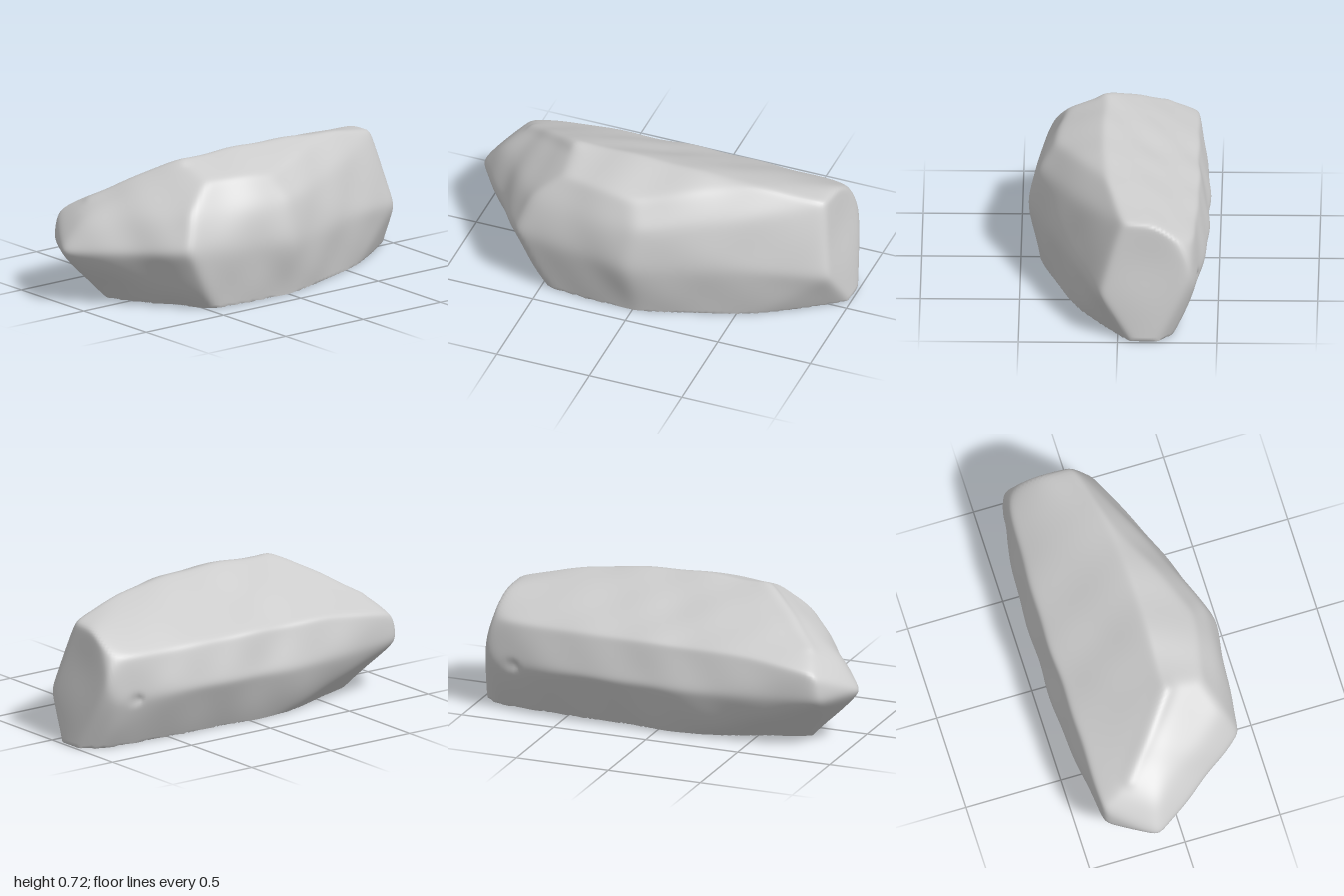
import * as THREE from 'three';
import { mergeVertices } from 'three/addons/utils/BufferGeometryUtils.js';
import { ConvexGeometry } from 'three/addons/geometries/ConvexGeometry.js';

const V = (x, y, z) => new THREE.Vector3(x, y, z);
const CENTRE = V(0, 0.3, -0.03);
const FLOOR = 0.012;
const SHARPNESS = 60;

// Corners of the rough block, [x, y, z]
const CORNERS = {
  top: [[-0.42, 0.725, 0.06], [0.1, 0.73, 0.08], [0.52, 0.7, 0.06], [0.89, 0.62, -0.02]],
  shoulder: [[-0.42, 0.65, 0.27], [-0.04, 0.64, 0.33], [-0.58, 0.52, 0.34], [0, 0.51, 0.425],
    [0.5, 0.56, 0.2], [0.88, 0.5, 0.04]],
  front: [[-0.63, 0.33, 0.405], [-0.02, 0.29, 0.465], [0.6, 0.3, 0.255], [-0.46, 0, 0.39],
    [0, 0, 0.41], [0.58, 0, 0.22]],
  rightEnd: [[0.945, 0.25, 0.1], [0.9, 0.61, -0.2], [0.91, 0.55, -0.29], [0.945, 0.42, -0.365],
    [0.965, 0.25, -0.34], [1.012, 0, -0.08], [1.012, 0, -0.19], [0.92, 0, -0.28]],
  leftEnd: [[-1.045, 0.29, -0.14], [-0.77, 0.53, -0.22], [-0.9, 0.455, -0.12], [-0.87, 0.43, -0.39],
    [-0.88, 0.28, -0.39], [-0.76, 0, -0.13]],
  back: [[-0.5, 0.49, -0.395], [0.3, 0.5, -0.4], [0.82, 0.49, -0.38], [-0.33, 0.28, -0.457],
    [0.1, 0.28, -0.465], [0.5, 0.28, -0.45], [0.9, 0.28, -0.395]],
  backFoot: [[-0.2, 0.13, -0.41], [0.5, 0.12, -0.37], [0.9, 0.12, -0.345],
    [-0.17, 0, -0.335], [0.27, 0, -0.29], [0.66, 0, -0.265]],
};

// Distinct facet planes of the block, measured from its centre
function facetPlanes() {
  const points = Object.values(CORNERS).flat().map((p) => V(...p).sub(CENTRE));
  const pos = new ConvexGeometry(points).getAttribute('position');
  const planes = [];
  for (let i = 0; i < pos.count; i += 3) {
    const [a, b, c] = [0, 1, 2].map((k) => V().fromBufferAttribute(pos, i + k));
    const plane = new THREE.Plane().setFromCoplanarPoints(a, b, c);
    const h = -plane.constant;
    const known = planes.some((q) => q.n.dot(plane.normal) > 0.999);
    if (h > 0.02 && plane.normal.y > -0.95 && !known) planes.push({ n: plane.normal, h });
  }
  return planes;
}

// Gentle weathering, a raised lip along the upper left edge and a small pit at the back
const RIDGE = new THREE.Line3(V(-0.77, 0.52, -0.22), V(-0.43, 0.71, 0.08));
const PIT = V(0.78, 0.27, -0.41);
const bump = (distance, width) => Math.exp(-((distance / width) ** 2));
function relief(p) {
  const waves = 0.005 * Math.sin(5 * p.x + 9 * p.y + 2) * Math.sin(11 * p.z + 3 * p.x)
    + 0.004 * Math.sin(17 * p.x + 5 * p.z) * Math.sin(13 * p.y + 7 * p.z + 1);
  const ridgeDistance = RIDGE.closestPointToPoint(p, true, V()).distanceTo(p);
  return waves + 0.012 * bump(ridgeDistance, 0.04) - 0.03 * bump(PIT.distanceTo(p), 0.03);
}

function rockGeometry() {
  const planes = facetPlanes();
  let geo = new THREE.IcosahedronGeometry(1, 48);
  geo.deleteAttribute('normal');
  geo.deleteAttribute('uv');
  geo = mergeVertices(geo, 1e-4);
  const pos = geo.getAttribute('position');
  const p = V();
  for (let i = 0; i < pos.count; i++) {
    const dir = V().fromBufferAttribute(pos, i).multiply(V(1, 0.42, 0.48)).normalize();
    // Soft intersection of all facets gives worn edges
    let sum = 0;
    for (const { n, h } of planes) sum += Math.max(0, n.dot(dir) / h) ** SHARPNESS;
    let r = sum > 0 ? sum ** (-1 / SHARPNESS) : 10;
    p.copy(dir).multiplyScalar(r).add(CENTRE);
    if (r < 2) r += relief(p);
    // Level cut underneath
    if (dir.y < 0) r = Math.min(r, (FLOOR - CENTRE.y) / dir.y);
    p.copy(dir).multiplyScalar(r).add(CENTRE);
    pos.setXYZ(i, p.x, p.y, p.z);
  }

  // Open underside with a ragged rim, leaving one small scrap in the middle
  const index = geo.getIndex().array;
  const kept = [];
  for (let i = 0; i < index.length; i += 3) {
    const tri = [index[i], index[i + 1], index[i + 2]];
    const mid = tri.reduce((s, k) => s.add(V().fromBufferAttribute(pos, k)), V()).divideScalar(3);
    const isScrap = Math.hypot(mid.x + 0.13, mid.z + 0.05) < 0.12;
    if (mid.y > FLOOR + 0.003 || isScrap) kept.push(...tri);
  }
  geo.setIndex(kept);
  geo.computeVertexNormals();
  return geo;
}

export function createModel() {
  const group = new THREE.Group();
  group.name = 'boulder';
  const material = new THREE.MeshStandardMaterial({ color: 0xcccccc, side: THREE.DoubleSide });
  const rock = new THREE.Mesh(rockGeometry(), material);
  rock.name = 'rock';
  group.add(rock);
  return group;
}
